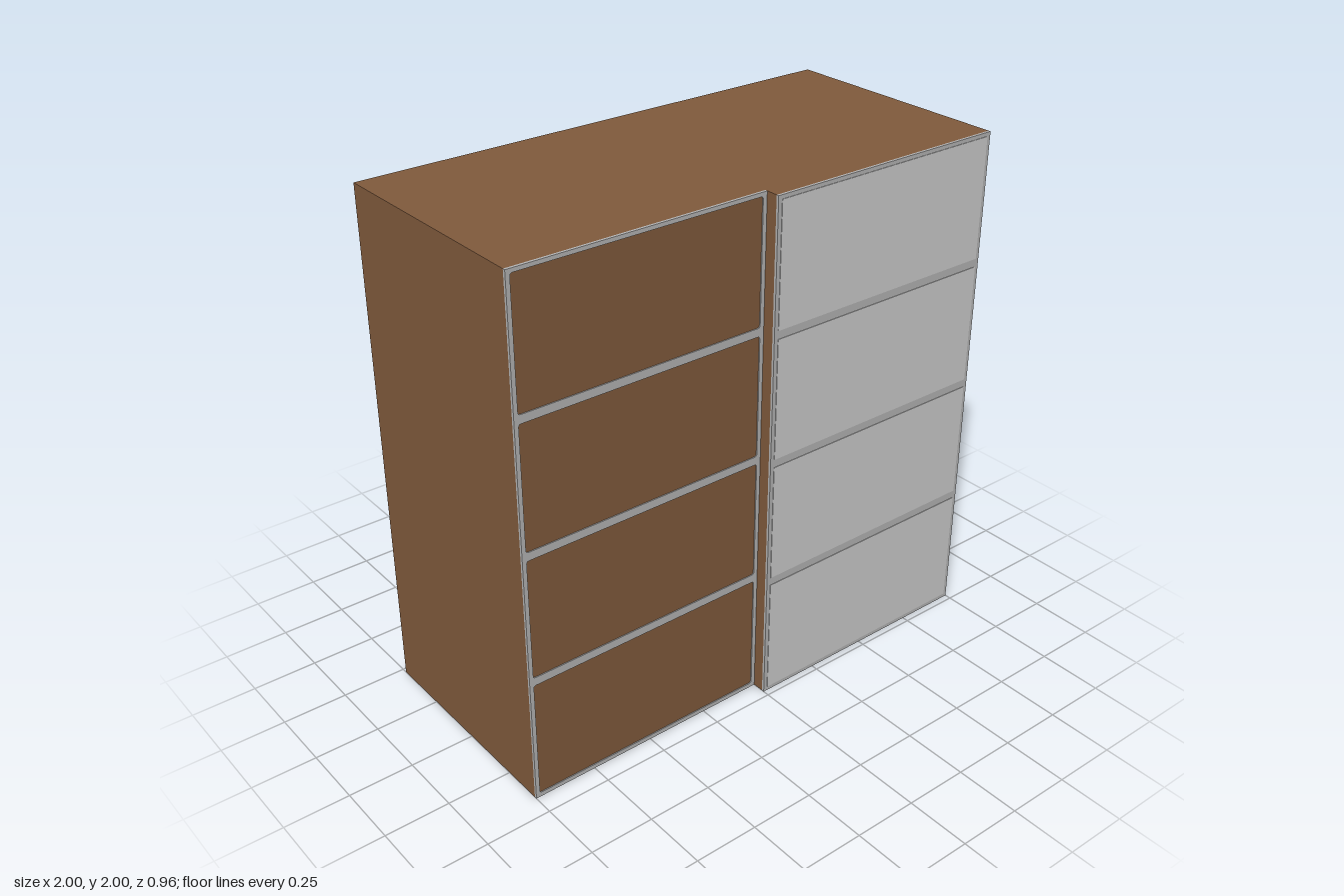
import * as THREE from 'three';

const material = (color) => new THREE.MeshStandardMaterial({ color });
const BACK = -0.478;
const EDGE = 0.01; // thickness of the front edging
const ROWS = 4;

// Rectangle outline with slightly rounded corners
function roundedRect(path, x0, y0, x1, y1, r) {
  path.moveTo(x0 + r, y0);
  path.lineTo(x1 - r, y0);
  path.quadraticCurveTo(x1, y0, x1, y0 + r);
  path.lineTo(x1, y1 - r);
  path.quadraticCurveTo(x1, y1, x1 - r, y1);
  path.lineTo(x0 + r, y1);
  path.quadraticCurveTo(x0, y1, x0, y1 - r);
  path.lineTo(x0, y0 + r);
  path.quadraticCurveTo(x0, y0, x0 + r, y0);
  return path;
}

function extrude(shape, depth, z, mat, name) {
  const geometry = new THREE.ExtrudeGeometry(shape, { depth, bevelEnabled: false, curveSegments: 3 });
  const mesh = new THREE.Mesh(geometry, mat);
  mesh.position.z = z;
  mesh.name = name;
  return mesh;
}

// One column: wooden body, front edging with four openings, four panels
function column(name, x0, front, panelMat, radius, panelOffset, wood, trim) {
  const group = new THREE.Group();
  group.name = name;
  const x1 = x0 + 1;
  const bodyFront = front - EDGE;

  const body = new THREE.Mesh(new THREE.BoxGeometry(1, 2, bodyFront - BACK), wood);
  body.position.set(x0 + 0.5, 1, (bodyFront + BACK) / 2);
  body.name = 'body';
  group.add(body);

  const frame = new THREE.Shape([
    new THREE.Vector2(x0, 0), new THREE.Vector2(x1, 0),
    new THREE.Vector2(x1, 2), new THREE.Vector2(x0, 2),
  ]);
  for (let i = 0; i < ROWS; i++) {
    const y = i * 0.5;
    const bounds = [x0 + 0.016, y + 0.017, x1 - 0.016, y + 0.485];
    frame.holes.push(roundedRect(new THREE.Path(), ...bounds, radius));
    const panel = roundedRect(new THREE.Shape(), ...bounds, radius);
    group.add(extrude(panel, EDGE + panelOffset, bodyFront, panelMat, 'frontPanel' + (i + 1)));
  }
  group.add(extrude(frame, EDGE, bodyFront, trim, 'frontEdging'));
  return group;
}

export function createModel() {
  const model = new THREE.Group();
  model.name = 'cabinet';
  const wood = material(0x805a3c);
  const trim = material(0xb4b4b4);
  const grey = material(0xcccccc);
  // Shallow column with wooden panels, deeper column with grey fronts
  model.add(column('rightColumn', -1, 0.42, wood, 0.01, -0.004, wood, trim));
  model.add(column('leftColumn', 0, 0.475, grey, 0.002, 0.002, wood, trim));
  return model;
}
